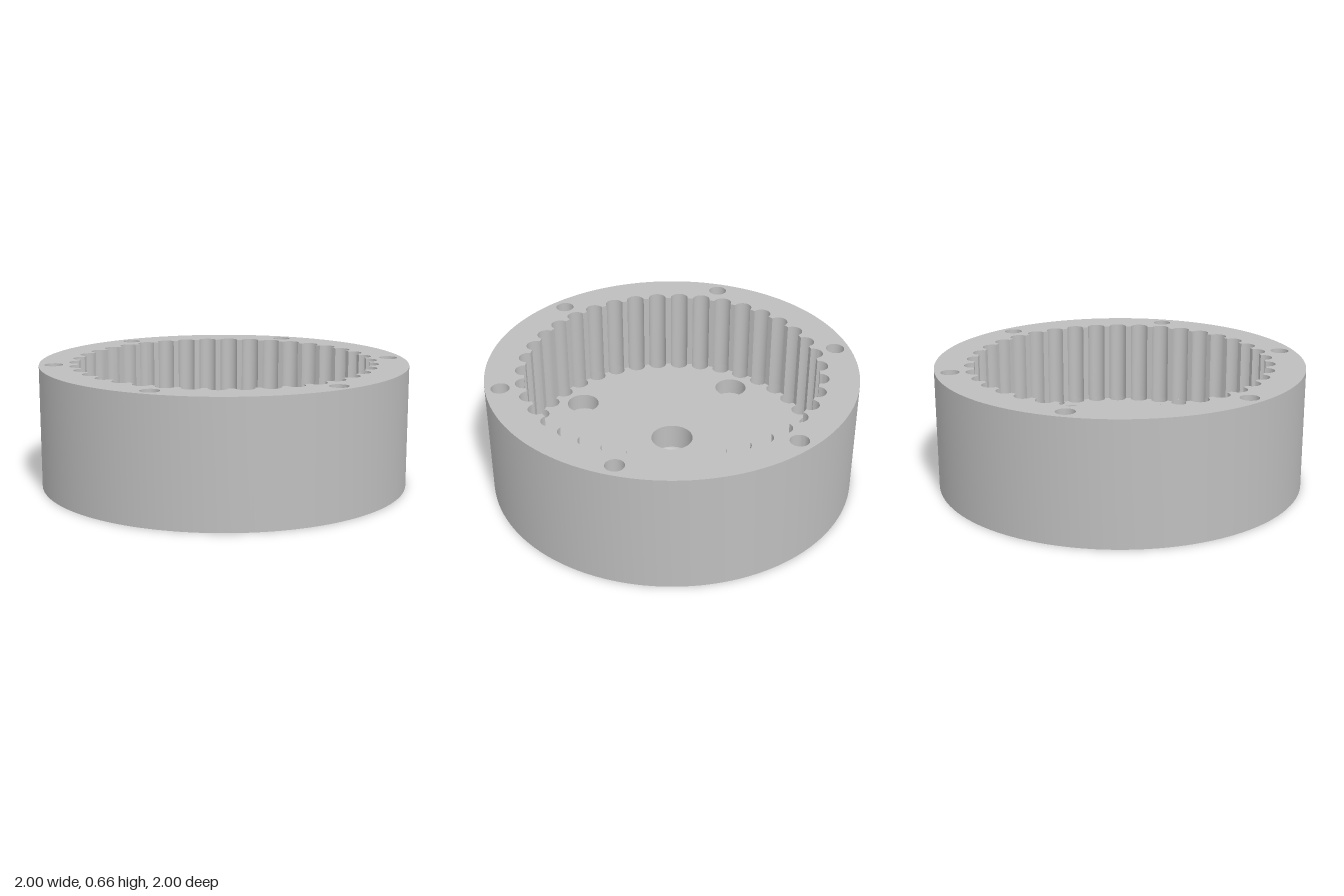
import * as THREE from 'three';
import { toCreasedNormals } from 'three/addons/utils/BufferGeometryUtils.js';

// Overall sizes
const HEIGHT = 0.66, FLOOR = 0.205, POCKET_R = 0.79;
const GROOVES = 38, GROOVE_R = 0.05, GROOVE_BOTTOM = 0.13;
const SCREW_SEAT = 0.45, BOLT_SEAT = 0.11, RECESS = 0.06;

// Contours are lists of (x, z) points, running from +x towards +z
function circle(r, cx = 0, cz = 0, n = 32) {
  return Array.from({ length: n }, (_, i) => {
    const a = (i / n) * Math.PI * 2;
    return new THREE.Vector2(cx + r * Math.cos(a), cz + r * Math.sin(a));
  });
}

// Pocket outline with a scallop at every groove, bulging outward or inward
function scallops(outward, n = 14) {
  const half = Math.PI / 2 + Math.asin(GROOVE_R / (2 * POCKET_R));
  const points = [];
  for (let i = 0; i < GROOVES; i++) {
    const a = (i / GROOVES) * Math.PI * 2;
    for (let k = 0; k <= n; k++) {
      const t = outward
        ? a - half + (2 * half * k) / n
        : a - half - ((2 * Math.PI - 2 * half) * k) / n;
      points.push(new THREE.Vector2(
        POCKET_R * Math.cos(a) + GROOVE_R * Math.cos(t),
        POCKET_R * Math.sin(a) + GROOVE_R * Math.sin(t)));
    }
  }
  return points;
}

// Vertical wall along a closed contour
function wallGeometry(points, y0, y1, facesInward) {
  const pos = [];
  points.forEach((p, i) => {
    const q = points[(i + 1) % points.length];
    const a = [p.x, y0, p.y], b = [p.x, y1, p.y];
    const c = [q.x, y1, q.y], d = [q.x, y0, q.y];
    const corners = facesInward ? [a, c, b, a, d, c] : [a, b, c, a, c, d];
    pos.push(...corners.flat());
  });
  const g = new THREE.BufferGeometry();
  g.setAttribute('position', new THREE.Float32BufferAttribute(pos, 3));
  return toCreasedNormals(g, 0.6);
}

// Flat horizontal face with holes, looking up or down
function faceGeometry(outline, holes, y, up) {
  const flip = (pts) => pts.map((p) => new THREE.Vector2(p.x, up ? -p.y : p.y));
  const shape = new THREE.Shape(flip(outline));
  shape.holes = holes.map((h) => new THREE.Path(flip(h)));
  const g = new THREE.ShapeGeometry(shape);
  g.rotateX(up ? -Math.PI / 2 : Math.PI / 2);
  g.translate(0, y, 0);
  return g;
}

export function createModel() {
  const model = new THREE.Group();
  model.name = 'ringGearHousing';
  const grey = new THREE.MeshStandardMaterial({ color: 0xbebebe });
  grey.name = 'plainGrey';

  const add = (name, geometry, parent = model) => {
    const mesh = new THREE.Mesh(geometry, grey);
    mesh.name = name;
    parent.add(mesh);
  };

  // Hole positions
  const screws = Array.from({ length: 6 }, (_, i) => {
    const a = (i * Math.PI) / 3 - 0.029;
    return [0.92 * Math.cos(a), 0.92 * Math.sin(a)];
  });
  const bolts = [[1, 1], [-1, 1], [-1, -1], [1, -1]].map(([x, z]) => [0.44 * x, 0.44 * z]);
  const around = (places, r) => places.map(([x, z]) => circle(r, x, z));

  // Outer drum
  const rim = circle(1, 0, 0, 128);
  const teeth = scallops(true);
  const centre = circle(0.115, 0, 0, 48);
  const recess = circle(0.316, 0, 0, 64);
  add('outerWall', wallGeometry(rim, 0, HEIGHT, false));
  add('topRim', faceGeometry(rim, [teeth, ...around(screws, 0.05)], HEIGHT, true));
  add('underside', faceGeometry(rim,
    [recess, ...around(screws, 0.037), ...around(bolts, 0.05)], 0, false));

  // Toothed pocket and its floor
  add('pocketTeeth', wallGeometry(teeth, FLOOR, HEIGHT, true));
  add('pocketFloor', faceGeometry(scallops(false),
    [centre, ...around(bolts, 0.09)], FLOOR, true));

  // Groove ends sunk below the floor
  const grooveEnds = new THREE.Group();
  grooveEnds.name = 'grooveEnds';
  model.add(grooveEnds);
  for (let i = 0; i < GROOVES; i++) {
    const a = (i / GROOVES) * Math.PI * 2;
    const c = circle(GROOVE_R, POCKET_R * Math.cos(a), POCKET_R * Math.sin(a), 28);
    add('grooveEndWall', wallGeometry(c, GROOVE_BOTTOM, FLOOR, true), grooveEnds);
    add('grooveEndFloor', faceGeometry(c, [], GROOVE_BOTTOM, true), grooveEnds);
  }

  // Central shaft hole and bearing recess underneath
  add('shaftHole', wallGeometry(centre, RECESS, FLOOR, true));
  add('bearingRecessWall', wallGeometry(recess, 0, RECESS, true));
  add('bearingRecessCeiling', faceGeometry(recess, [centre], RECESS, false));

  // Stepped holes: wide upper bore, seat, narrow through bore
  function steppedHole(name, [x, z], wide, narrow, top, seat) {
    const group = new THREE.Group();
    group.name = name;
    model.add(group);
    const w = circle(wide, x, z), n = circle(narrow, x, z);
    add('upperBore', wallGeometry(w, seat, top, true), group);
    add('seat', faceGeometry(w, [n], seat, true), group);
    add('throughBore', wallGeometry(n, 0, seat, true), group);
  }
  screws.forEach((p) => steppedHole('rimScrewHole', p, 0.05, 0.037, HEIGHT, SCREW_SEAT));
  bolts.forEach((p) => steppedHole('floorBoltHole', p, 0.09, 0.05, FLOOR, BOLT_SEAT));

  return model;
}
